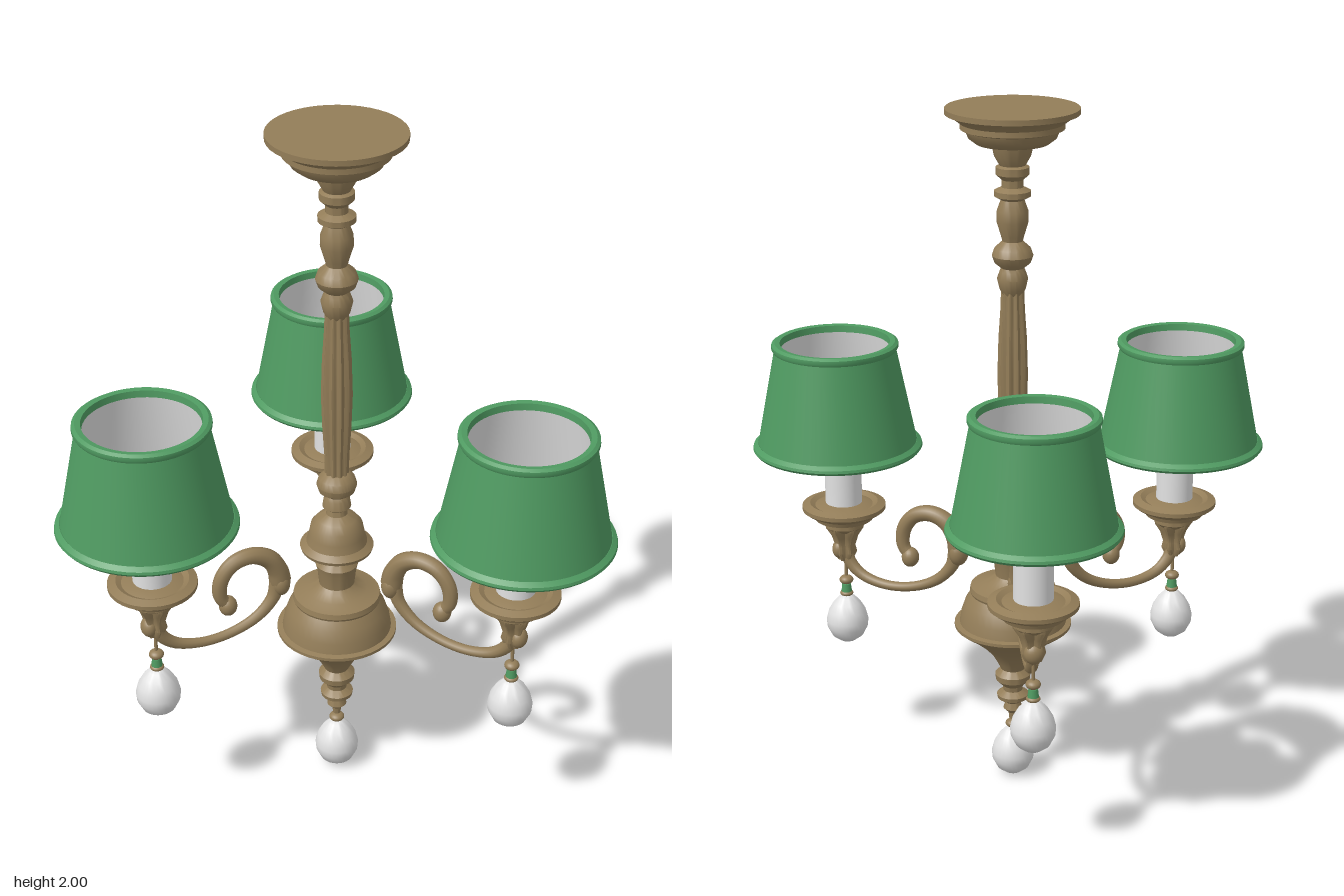
import * as THREE from 'three';
import { toCreasedNormals } from 'three/addons/utils/BufferGeometryUtils.js';

const material = (name, color) => {
  const m = new THREE.MeshStandardMaterial({ color });
  m.name = name;
  return m;
};

export function createModel() {
  const brass = material('aged brass', 0x937d58);
  const green = material('green shade', 0x4f9a61);
  const white = material('white lining and glass', 0xe2e2e2);

  const add = (parent, name, geometry, mat, x = 0, y = 0, z = 0) => {
    const mesh = new THREE.Mesh(geometry, mat);
    mesh.name = name;
    mesh.position.set(x, y, z);
    parent.add(mesh);
    return mesh;
  };

  // Turned part from [radius, height] pairs, listed bottom to top
  const turned = (points, segments = 40) => toCreasedNormals(
    new THREE.LatheGeometry(points.map(p => new THREE.Vector2(p[0], p[1])), segments), 0.6);

  // Turned part whose wall is pushed in and out around its axis
  const fluted = (points, lobes, depth) => {
    const g = new THREE.LatheGeometry(points.map(p => new THREE.Vector2(p[0], p[1])), lobes * 6);
    const pos = g.attributes.position;
    for (let i = 0; i < pos.count; i++) {
      const x = pos.getX(i), z = pos.getZ(i);
      const k = 1 + depth * Math.cos(lobes * Math.atan2(z, x));
      pos.setXYZ(i, x * k, pos.getY(i), z * k);
    }
    return toCreasedNormals(g, 0.6);
  };

  // Tube along a path in the xy plane, its radius varying from start to end
  const taperedTube = (points, radiusAt) => {
    const curve = new THREE.CatmullRomCurve3(points.map(p => new THREE.Vector3(p[0], p[1], 0)));
    const n = 40, sides = 10;
    const g = new THREE.TubeGeometry(curve, n, 1, sides);
    const pos = g.attributes.position, v = new THREE.Vector3();
    for (let i = 0; i <= n; i++) {
      const c = curve.getPointAt(i / n);
      for (let j = 0; j <= sides; j++) {
        const id = i * (sides + 1) + j;
        v.fromBufferAttribute(pos, id).sub(c).multiplyScalar(radiusAt(i / n)).add(c);
        pos.setXYZ(id, v.x, v.y, v.z);
      }
    }
    return g;
  };

  const blob = (rx, ry, rz) => new THREE.SphereGeometry(1, 20, 14).scale(rx, ry, rz);

  // Egg-shaped glass drop, bottom at y = 0
  const drop = turned([[0, 0], [0.025, 0.005], [0.047, 0.022], [0.061, 0.05], [0.063, 0.072],
    [0.056, 0.1], [0.041, 0.126], [0.024, 0.144], [0.012, 0.153], [0, 0.155]], 28);

  const model = new THREE.Group();
  model.name = 'chandelier';
  const Z = 0.115; // column axis

  // Ceiling plate and upper turned stem
  add(model, 'canopyAndUpperStem', turned([
    [0.025, 1.48], [0.036, 1.5], [0.043, 1.53], [0.036, 1.55], [0.032, 1.56], [0.05, 1.575],
    [0.057, 1.595], [0.05, 1.615], [0.028, 1.635], [0.032, 1.65], [0.044, 1.69], [0.043, 1.72],
    [0.032, 1.75], [0.05, 1.76], [0.05, 1.775], [0.03, 1.785], [0.03, 1.805], [0.046, 1.82],
    [0.046, 1.84], [0.036, 1.845], [0.05, 1.87], [0.057, 1.9], [0.1, 1.905], [0.12, 1.92],
    [0.128, 1.94], [0.142, 1.945], [0.142, 1.96], [0.155, 1.97], [0.172, 1.982], [0.183, 1.985],
    [0.183, 2], [0, 2]]), brass, 0, 0, Z);

  // Reeded shaft
  add(model, 'flutedShaft', fluted([[0.03, 0.98], [0.031, 1.06], [0.036, 1.15], [0.039, 1.25],
    [0.036, 1.36], [0.031, 1.44], [0.029, 1.5]], 10, 0.1), brass, 0, 0, Z);

  // Hub, bowl and lower finial
  add(model, 'hubAndBowl', turned([
    [0, 0.175], [0.011, 0.18], [0.013, 0.2], [0.028, 0.215], [0.022, 0.235], [0.045, 0.25],
    [0.047, 0.262], [0.028, 0.275], [0.03, 0.29], [0.05, 0.31], [0.052, 0.328], [0.035, 0.345],
    [0.045, 0.365], [0.062, 0.395], [0.09, 0.425], [0.125, 0.455], [0.163, 0.482], [0.17, 0.488],
    [0.17, 0.497], [0.155, 0.5], [0.15, 0.53], [0.138, 0.565], [0.122, 0.59], [0.125, 0.597],
    [0.122, 0.612], [0.085, 0.622], [0.06, 0.635], [0.05, 0.645], [0.055, 0.69], [0.06, 0.71],
    [0.045, 0.73], [0.06, 0.745], [0.1, 0.762], [0.103, 0.772], [0.085, 0.785], [0.078, 0.81],
    [0.072, 0.84], [0.055, 0.86], [0.03, 0.875], [0.027, 0.89], [0.04, 0.9], [0.036, 0.925],
    [0.03, 0.935], [0.05, 0.95], [0.056, 0.97], [0.05, 0.99], [0.033, 1.005], [0, 1.01]]),
  brass, 0, 0, Z);

  // Centre drop
  add(model, 'centreDropBead', blob(0.022, 0.013, 0.022), brass, 0, 0.163, Z);
  add(model, 'centreDrop', drop, white, 0, 0, Z);

  // Profiles shared by all lights
  const cup = turned([[0.02, 0.69], [0.04, 0.7], [0.058, 0.715], [0.058, 0.727], [0.085, 0.738],
    [0.09, 0.75], [0.113, 0.762], [0.123, 0.77], [0.123, 0.782], [0.1, 0.79], [0.085, 0.782],
    [0.06, 0.79], [0, 0.79]]);
  const leafStem = fluted([[0, 0.595], [0.02, 0.605], [0.03, 0.63], [0.026, 0.65], [0.034, 0.68],
    [0.048, 0.705], [0.05, 0.72]], 6, 0.16);
  const shell = turned([[0.235, 0], [0.232, 0.015], [0.174, 0.315]], 56);
  const lining = turned([[0.168, 0.315], [0.227, 0.015], [0.23, 0]], 56);
  const lowerRim = turned([[0.226, -0.006], [0.242, -0.008], [0.248, 0], [0.246, 0.008],
    [0.233, 0.018], [0.226, 0.012], [0.226, -0.006]], 56);
  const upperRim = turned([[0.157, 0.308], [0.18, 0.306], [0.184, 0.314], [0.183, 0.324],
    [0.174, 0.33], [0.159, 0.328], [0.157, 0.308]], 56);

  // Arm and scroll, x measured outward from the column
  const arm = taperedTube([[0.165, 0.7], [0.178, 0.64], [0.225, 0.585], [0.3, 0.55], [0.38, 0.542],
    [0.45, 0.562], [0.49, 0.605], [0.5, 0.66]], t => 0.021 - 0.007 * Math.sin(Math.PI * t));
  const scroll = taperedTube([[0.3, 0.645], [0.322, 0.68], [0.318, 0.735], [0.285, 0.78],
    [0.235, 0.793], [0.19, 0.772], [0.165, 0.73], [0.158, 0.69]], t => 0.017 + 0.012 * t);

  const lights = [
    { name: 'right', x: -0.497, z: 0.322, sx: -0.503, sz: 0.315, sy: 0.964, size: 1 },
    { name: 'left', x: 0.485, z: 0.358, sx: 0.497, sz: 0.37, sy: 0.964, size: 1 },
    { name: 'back', x: -0.02, z: -0.385, sx: -0.022, sz: -0.38, sy: 0.985, size: 0.955 },
  ];

  for (const l of lights) {
    const light = new THREE.Group();
    light.name = l.name + 'Light';
    model.add(light);

    // Curved arm with scroll and leaf tips
    const armGroup = new THREE.Group();
    armGroup.name = l.name + 'Arm';
    armGroup.position.z = Z;
    armGroup.rotation.y = -Math.atan2(l.z - Z, l.x);
    armGroup.scale.x = Math.hypot(l.x, l.z - Z) / 0.5;
    light.add(armGroup);
    add(armGroup, 'arm', arm, brass);
    add(armGroup, 'scroll', scroll, brass);
    add(armGroup, 'scrollTip', blob(0.024, 0.03, 0.026), brass, 0.302, 0.645);
    add(armGroup, 'innerLeaf', blob(0.026, 0.04, 0.032), brass, 0.158, 0.685);
    add(armGroup, 'outerLeaf', blob(0.022, 0.03, 0.028), brass, 0.515, 0.635);

    // Cup, candle and bulb
    add(light, 'cup', cup, brass, l.x, 0, l.z);
    add(light, 'leafStem', leafStem, brass, l.x, 0, l.z);
    add(light, 'candle', new THREE.CylinderGeometry(0.054, 0.054, 0.24, 28), white, l.x, 0.9, l.z);
    add(light, 'bulb', blob(0.076, 0.085, 0.076), white, l.x, 1.08, l.z);

    // Lampshade
    const shade = new THREE.Group();
    shade.name = l.name + 'Shade';
    shade.position.set(l.sx, l.sy, l.sz);
    shade.scale.set(l.size, 0.965, l.size);
    light.add(shade);
    add(shade, 'shadeShell', shell, green);
    add(shade, 'shadeLining', lining, white);
    add(shade, 'lowerRim', lowerRim, green);
    add(shade, 'upperRim', upperRim, green);

    // Hanging drop
    add(light, 'dropWire', new THREE.CylinderGeometry(0.005, 0.005, 0.07, 8), brass, l.x, 0.575, l.z);
    add(light, 'dropBead', blob(0.021, 0.014, 0.021), brass, l.x, 0.537, l.z);
    add(light, 'dropCollar', new THREE.CylinderGeometry(0.013, 0.016, 0.024, 14), green, l.x, 0.512, l.z);
    add(light, 'dropCap', blob(0.02, 0.01, 0.02), brass, l.x, 0.494, l.z);
    add(light, 'glassDrop', drop, white, l.x, 0.337, l.z);
  }
  return model;
}
